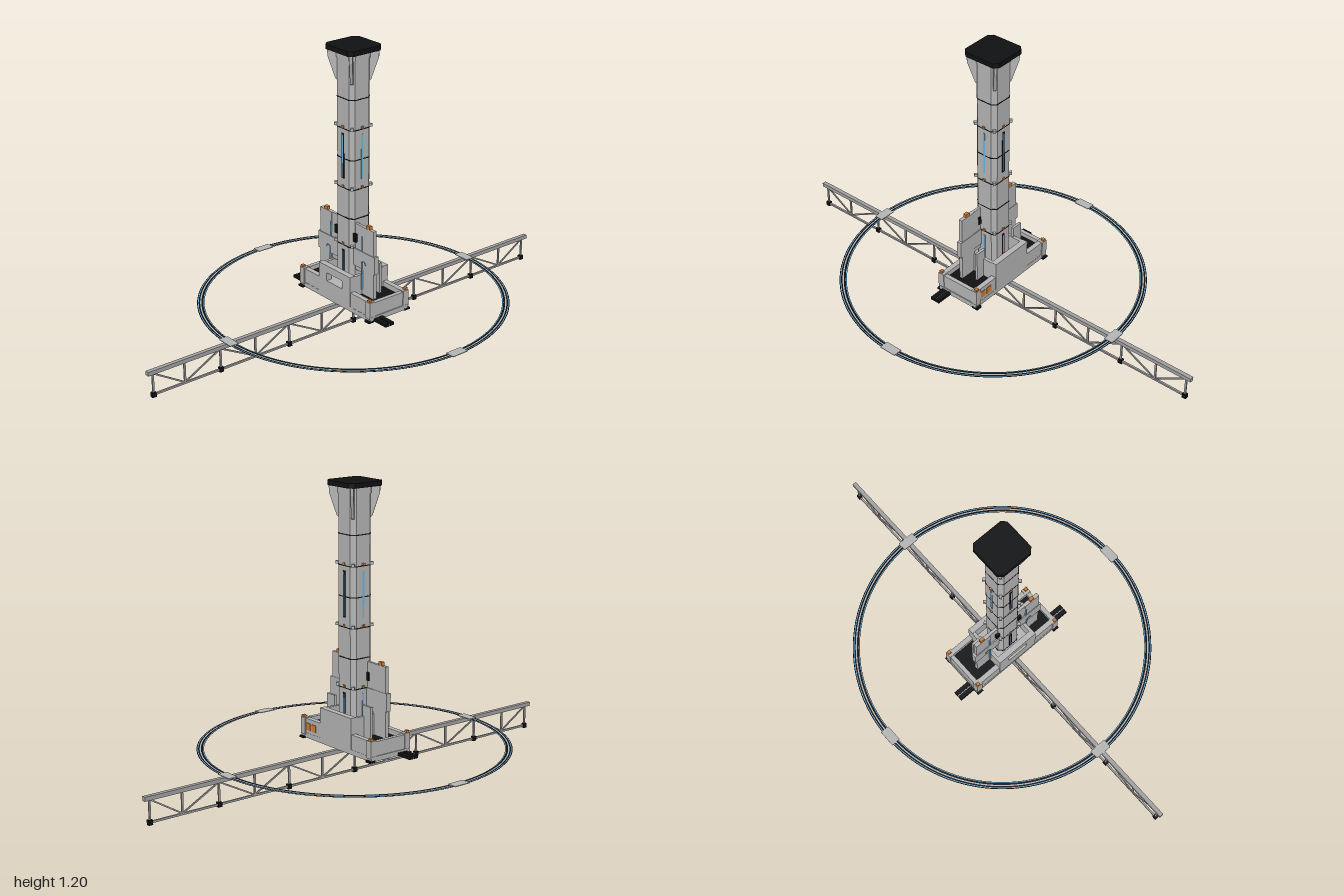
import * as THREE from 'three';

export function createModel() {
  const root = new THREE.Group();
  const mat = (name, color, double) => {
    const m = new THREE.MeshStandardMaterial({ color });
    m.name = name;
    if (double) m.side = THREE.DoubleSide;
    return m;
  };
  const grey = mat('lightGrey', 0xb4b4b4);
  const steel = mat('trussGrey', 0xa0a0a0);
  const black = mat('black', 0x101113, true);
  const blue = mat('glowBlue', 0x6cb2e0);
  const orange = mat('orange', 0xd07c30);

  const group = (name) => {
    const g = new THREE.Group();
    g.name = name;
    root.add(g);
    return g;
  };
  const add = (g, name, geo, m) => {
    const mesh = new THREE.Mesh(geo, m);
    mesh.name = name;
    g.add(mesh);
    return mesh;
  };
  // Box given by its minimum and maximum on each axis
  const box = (g, name, m, x0, x1, y0, y1, z0, z1) => {
    const b = add(g, name, new THREE.BoxGeometry(x1 - x0, y1 - y0, z1 - z0), m);
    b.position.set((x0 + x1) / 2, (y0 + y1) / 2, (z0 + z1) / 2);
    return b;
  };
  // Same box on the left and right sides
  const pair = (g, name, m, x0, x1, y0, y1, z0, z1) => {
    box(g, name, m, x0, x1, y0, y1, z0, z1);
    box(g, name, m, -x1, -x0, y0, y1, z0, z1);
  };
  // Upright square prism with chamfered corners
  const prism = (g, name, m, hx, hz, c, y0, y1) => {
    const s = new THREE.Shape([
      [hx - c, -hz], [hx, -hz + c], [hx, hz - c], [hx - c, hz],
      [-hx + c, hz], [-hx, hz - c], [-hx, -hz + c], [-hx + c, -hz],
    ].map(([x, y]) => new THREE.Vector2(x, y)));
    const geo = new THREE.ExtrudeGeometry(s, { depth: y1 - y0, bevelEnabled: false });
    geo.rotateX(-Math.PI / 2);
    add(g, name, geo, m).position.y = y0;
  };

  // Truss beam running front to back
  const truss = group('truss');
  box(truss, 'topChord', steel, -0.009, 0.009, 0.098, 0.115, -1, 1);
  box(truss, 'bottomChord', steel, -0.004, 0.004, 0.006, 0.014, -0.98, 0.98);
  const panel = (i) => THREE.MathUtils.clamp(i / 6, -0.976, 0.976);
  for (let i = -6; i <= 6; i++) {
    const z = panel(i), even = i % 2 === 0;
    box(truss, 'post', steel, -0.003, 0.003, 0.01, 0.1, z - 0.004, z + 0.004);
    if (even) box(truss, 'foot', black, -0.008, 0.008, 0, 0.02, z - 0.009, z + 0.009);
    if (i === 6) continue;
    const z1 = panel(i + 1), ya = even ? 0.1 : 0.012, yb = even ? 0.012 : 0.1;
    const d = add(truss, 'diagonal',
      new THREE.BoxGeometry(0.005, 0.006, Math.hypot(z1 - z, yb - ya)), steel);
    d.position.set(0, (ya + yb) / 2, (z + z1) / 2);
    d.rotation.x = -Math.atan2(yb - ya, z1 - z);
  }

  // Flat circular track with stripes and four joint plates
  const track = group('circularTrack');
  const ring = (name, m, r0, r1, y) => {
    const r = add(track, name, new THREE.RingGeometry(r0, r1, 128), m);
    r.rotation.x = -Math.PI / 2;
    r.position.y = y;
  };
  ring('trackBed', black, 0.611, 0.641, 0.1155);
  ring('centreLine', grey, 0.6235, 0.6285, 0.1165);
  ring('innerGlow', blue, 0.6125, 0.6155, 0.1165);
  ring('outerGlow', blue, 0.6345, 0.6375, 0.1165);
  for (let i = 0; i < 4; i++) {
    const a = i * Math.PI / 2;
    const p = add(track, 'jointPlate', new THREE.BoxGeometry(0.04, 0.003, 0.074), grey);
    p.position.set(0.625 * Math.cos(a), 0.1165, -0.625 * Math.sin(a));
    p.rotation.y = a;
  }

  // Base tray with walls, dark decks and corner posts
  const base = group('base');
  box(base, 'floor', grey, -0.228, 0.228, 0.117, 0.138, -0.098, 0.098);
  for (const s of [-1, 1]) {
    box(base, 'longWall', grey, -0.2, 0.2, 0.138, 0.2, s * 0.086 - 0.011, s * 0.086 + 0.011);
    for (const z of [-0.088, 0.088]) {
      box(base, 'cornerPost', grey, s * 0.213 - 0.014, s * 0.213 + 0.014, 0.13, 0.202, z - 0.014, z + 0.014);
      box(base, 'cornerLamp', orange, s * 0.216 - 0.007, s * 0.216 + 0.007, 0.202, 0.211, z * 1.06 - 0.007, z * 1.06 + 0.007);
      box(base, 'cornerFoot', black, s * 0.215 - 0.014, s * 0.215 + 0.014, 0.114, 0.122, z * 1.07 - 0.014, z * 1.07 + 0.014);
    }
  }
  pair(base, 'endWall', grey, 0.206, 0.224, 0.138, 0.197, -0.08, 0.08);
  pair(base, 'deck', black, 0.1, 0.207, 0.138, 0.178, -0.076, 0.076);
  for (const x of [0.145, 0.182])
    box(base, 'rearPanel', orange, x - 0.014, x + 0.014, 0.152, 0.182, -0.1, -0.096);

  // Side rails sticking out below the base
  for (const z of [0.047, 0.071])
    pair(base, 'sideRail', black, 0.19, 0.3, 0.118, 0.13, z - 0.01, z + 0.01);
  pair(base, 'railLine', grey, 0.19, 0.298, 0.119, 0.127, 0.056, 0.062);

  // Socket around the tower foot, open at the front
  const socket = group('socket');
  pair(socket, 'frontPillar', grey, 0.05, 0.1, 0.138, 0.236, 0.074, 0.1);
  box(socket, 'frontSill', grey, -0.05, 0.05, 0.138, 0.2, 0.074, 0.1);
  box(socket, 'lintel', grey, -0.1, 0.1, 0.236, 0.268, 0.074, 0.1);
  box(socket, 'rearWall', grey, -0.1, 0.1, 0.138, 0.268, -0.1, -0.074);
  pair(socket, 'cheek', grey, 0.086, 0.1, 0.138, 0.265, -0.076, 0.076);
  box(socket, 'socketFloor', grey, -0.087, 0.087, 0.138, 0.2, -0.076, 0.076);

  // Upright support plates either side of the tower
  const support = group('supportPlates');
  pair(support, 'innerPlate', grey, 0.045, 0.095, 0.27, 0.473, 0.022, 0.034);
  pair(support, 'tallPlate', grey, 0.095, 0.17, 0.17, 0.473, 0.02, 0.036);
  pair(support, 'wideBand', grey, 0.045, 0.18, 0.29, 0.365, 0.018, 0.039);
  pair(support, 'plateLamp', orange, 0.124, 0.144, 0.473, 0.487, 0.021, 0.035);
  pair(support, 'clamp', black, 0.05, 0.068, 0.395, 0.43, 0.018, 0.044);
  pair(support, 'rearBrace', grey, 0.09, 0.14, 0.17, 0.31, -0.033, -0.022);
  pair(support, 'upperCable', blue, 0.098, 0.102, 0.366, 0.43, 0.036, 0.039);
  pair(support, 'lowerCable', blue, 0.099, 0.104, 0.2, 0.32, 0.036, 0.042);
  for (const s of [-1, 1]) {
    const arc = add(support, 'cableArc', new THREE.TorusGeometry(0.012, 0.002, 6, 12, Math.PI), blue);
    arc.position.set(s * 0.113, 0.312, 0.04);
  }

  // Chamfered tower shaft with dark seams
  const tower = group('tower');
  const HX = 0.054, HZ = 0.052;
  prism(tower, 'shaft', grey, HX, HZ, 0.017, 0.2, 1.18);
  for (const y of [0.205, 0.365, 0.49, 0.615, 0.74, 0.865, 0.99])
    prism(tower, 'seam', black, HX + 0.001, HZ + 0.001, 0.0173, y - 0.002, y + 0.002);
  prism(tower, 'neckBand', grey, HX + 0.003, HZ + 0.003, 0.018, 1.15, 1.18);

  // Joint lugs at the corners and lamps on the faces
  for (const y of [0.372, 0.622, 0.872]) {
    for (const s of [-1, 1]) {
      for (const t of [-1, 1]) {
        const lug = add(tower, 'cornerLug', new THREE.BoxGeometry(0.016, 0.012, 0.012), grey);
        lug.position.set(s * 0.049, y - 0.001, t * 0.047);
        lug.rotation.y = -s * t * Math.PI / 4;
      }
      box(tower, 'faceLamp', orange, -0.005, 0.005, y - 0.005, y + 0.005, s * HZ - 0.004, s * HZ + 0.004);
      box(tower, 'sideLamp', orange, s * (HX + 0.002) - 0.005, s * (HX + 0.002) + 0.005, y - 0.005, y + 0.005, -0.005, 0.005);
    }
  }

  // Light slots: framed on front and back, plain on the sides
  for (const [y0, y1] of [[0.207, 0.345], [0.655, 0.845]]) {
    for (const s of [-1, 1]) {
      box(tower, 'slotFrame', black, -0.007, 0.007, y0, y1, s * HZ - 0.002, s * HZ + 0.002);
      box(tower, 'slotLight', blue, -0.002, 0.002, y0 + 0.006, y1 - 0.006, s * HZ - 0.003, s * HZ + 0.003);
      box(tower, 'sideLight', blue, s * HX - 0.002, s * HX + 0.002, y0, y1, -0.004, 0.004);
    }
  }

  // Flared corner brackets carrying the cap
  const gusset = new THREE.Shape([[0.06, 1.05], [0.07, 1.06], [0.1, 1.15], [0.102, 1.182], [0.06, 1.182]]
    .map(([x, y]) => new THREE.Vector2(x, y)));
  for (let i = 0; i < 4; i++) {
    const geo = new THREE.ExtrudeGeometry(gusset, { depth: 0.012, bevelEnabled: false });
    geo.translate(0, 0, -0.006);
    add(tower, 'capBracket', geo, grey).rotation.y = Math.PI / 4 + i * Math.PI / 2;
  }
  prism(tower, 'cap', black, 0.084, 0.084, 0.018, 1.18, 1.2);

  return root;
}
